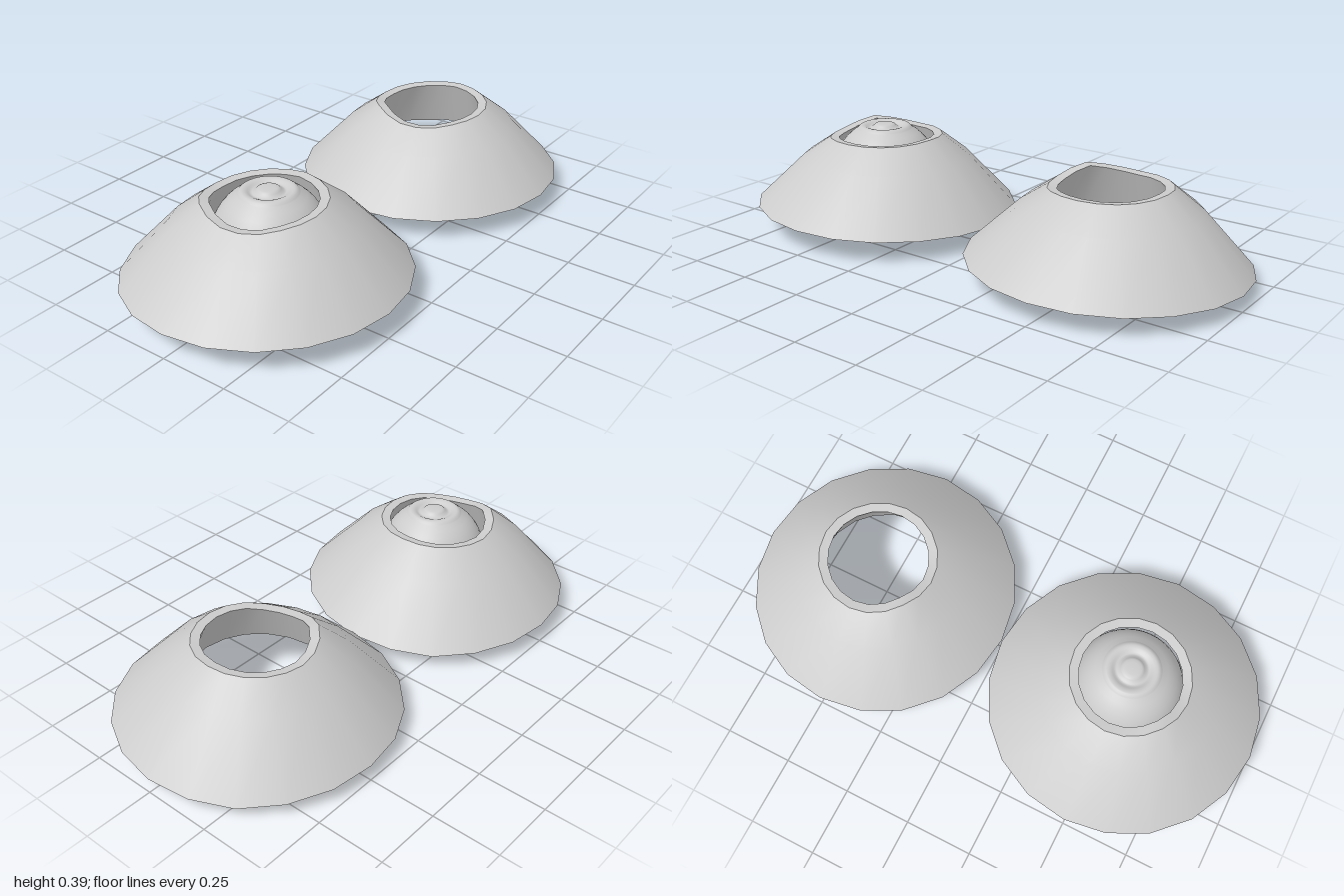
import * as THREE from 'three';
import { toCreasedNormals } from 'three/addons/utils/BufferGeometryUtils.js';

const SIDES = 20;

// Uneven edge heights as [angle in degrees, y]; 0 is +x, 90 is +z
const BASE = [[0, 0.093], [45, 0.095], [90, 0.091], [110, 0.083], [143, 0.069],
  [180, 0.072], [234, 0.054], [270, 0.068], [306, 0.081], [360, 0.093]];
const CREST = [[0, 0.348], [30, 0.345], [60, 0.331], [85, 0.331], [126, 0.361],
  [160, 0.342], [180, 0.336], [225, 0.342], [270, 0.352], [315, 0.348], [360, 0.348]];

function heightAt(table, deg) {
  const i = table.findIndex((p, k) => deg >= p[0] && deg <= table[k + 1][0]);
  const [a, ya] = table[i], [b, yb] = table[i + 1];
  return THREE.MathUtils.mapLinear(deg, a, b, ya, yb);
}

// Hollow cone: closed cross-section swept round, following the uneven edges
function coneGeometry() {
  // [radius, how far from base edge to crest, extra height]
  const section = [[0.5, 0, 0], [0.32, 0.68, 0.006], [0.215, 1, 0],
    [0.182, 0.985, 0], [0.25, 0.35, 0]];
  const positions = [], index = [];
  section.forEach(([r, t, lift]) => {
    for (let s = 0; s < SIDES; s++) {
      const deg = (s * 360) / SIDES, a = THREE.MathUtils.degToRad(deg);
      const y = THREE.MathUtils.lerp(heightAt(BASE, deg), heightAt(CREST, deg), t) + lift;
      positions.push(r * Math.cos(a), y, r * Math.sin(a));
    }
  });
  const rings = section.length;
  for (let i = 0; i < rings; i++) {
    const lower = i * SIDES, upper = ((i + 1) % rings) * SIDES;
    for (let s = 0; s < SIDES; s++) {
      const n = (s + 1) % SIDES;
      index.push(lower + s, upper + s, lower + n, upper + s, upper + n, lower + n);
    }
  }
  const geometry = new THREE.BufferGeometry();
  geometry.setAttribute('position', new THREE.Float32BufferAttribute(positions, 3));
  geometry.setIndex(index);
  return toCreasedNormals(geometry, 0.5);
}

// Ball with a ring-shaped dimple and a small raised button on top
function ballGeometry() {
  const R = 0.2, profile = [];
  for (let i = 0; i <= 20; i++) {
    const a = (i / 20) * THREE.MathUtils.degToRad(148);
    profile.push(new THREE.Vector2(R * Math.sin(a), R - R * Math.cos(a)));
  }
  const dimple = new THREE.SplineCurve([[0.106, 0.37], [0.092, 0.382], [0.075, 0.381],
    [0.058, 0.372], [0.045, 0.378], [0.032, 0.388], [0, 0.39]]
    .map(([x, y]) => new THREE.Vector2(x, y)));
  profile.push(...dimple.getPoints(18).slice(1));
  profile[0].x = 0;
  profile[profile.length - 1].x = 0;
  return new THREE.LatheGeometry(profile, 40);
}

export function createModel() {
  const model = new THREE.Group();
  const grey = new THREE.MeshStandardMaterial({ color: 0xcccccc });
  const add = (name, geometry, x, y, z) => {
    const mesh = new THREE.Mesh(geometry, grey);
    mesh.name = name;
    mesh.position.set(x, y, z);
    model.add(mesh);
  };

  // Two matching cones, the rear one sitting slightly lower
  const cone = coneGeometry();
  add('frontCone', cone, 0, 0, 0.5);
  add('rearCone', cone, 0, -0.012, -0.5);

  // Ball resting in the front cone
  add('ball', ballGeometry(), 0.014, 0, 0.495);
  return model;
}
